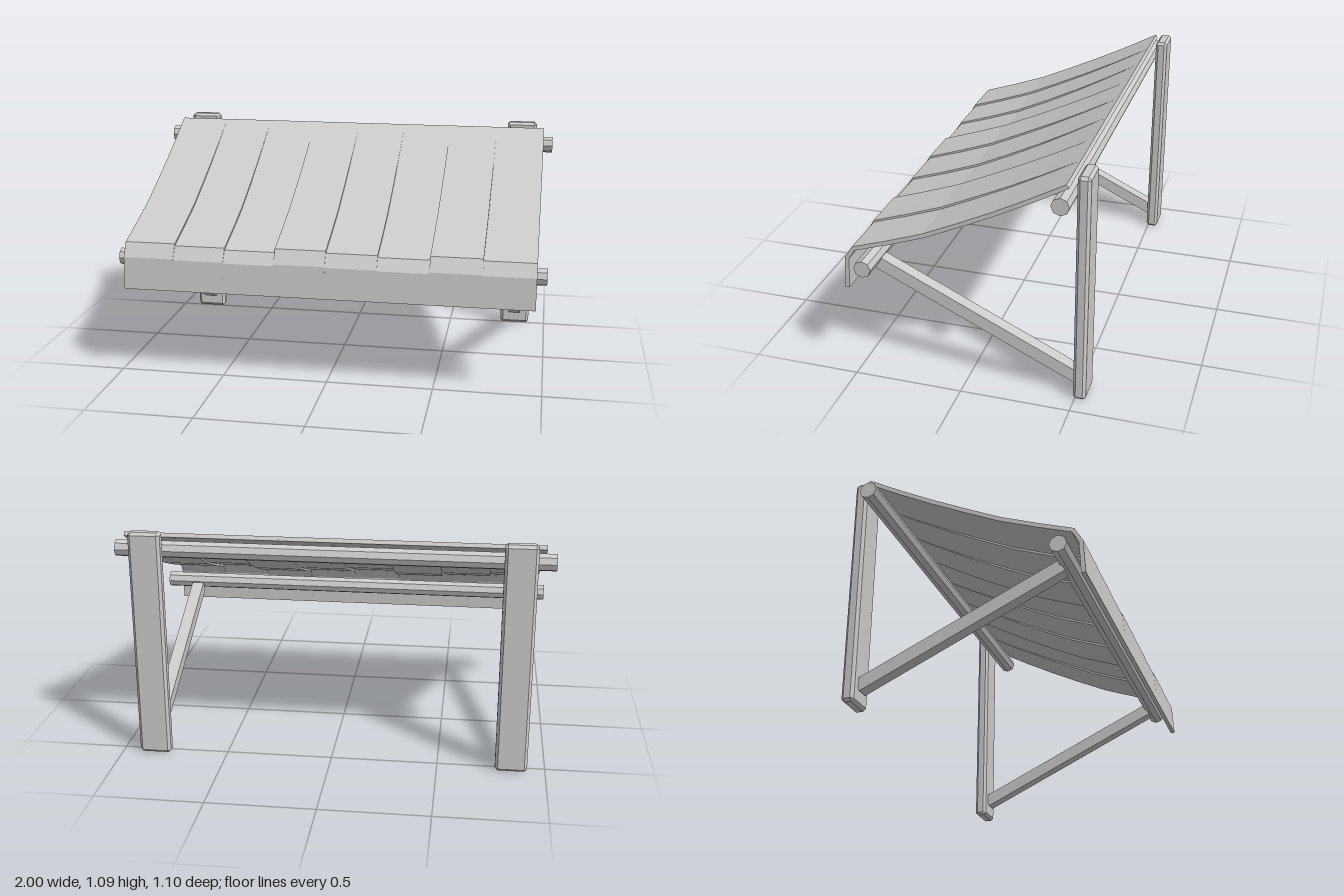
import * as THREE from 'three';
import { ConvexGeometry } from 'three/addons/geometries/ConvexGeometry.js';

// Box with every edge chamfered by c
function chamferBox(w, h, d, c) {
  const pts = [];
  for (const sx of [-1, 1]) for (const sy of [-1, 1]) for (const sz of [-1, 1]) {
    const x = w / 2, y = h / 2, z = d / 2;
    for (const [a, b, e] of [[x, y - c, z - c], [x - c, y, z - c], [x - c, y - c, z]]) {
      pts.push(new THREE.Vector3(sx * a, sy * b, sz * e));
    }
  }
  return new ConvexGeometry(pts);
}

// Canopy top line from back to front lip: z, y, share of the strip's sag
const PROFILE = [
  [-0.459, 1.068, 0], [-0.3, 0.982, 0.35], [-0.15, 0.906, 0.7], [0, 0.835, 1],
  [0.17, 0.757, 1.1], [0.335, 0.697, 1.1], [0.5, 0.641, 1], [0.538, 0.576, 0.4], [0.546, 0.424, 0],
];

// One solid strip of cloth, hung lower by sag
function stripGeometry(width, sag) {
  const top = PROFILE.map(([z, y, s]) => new THREE.Vector2(z, y - s * sag));
  const under = top.map((p, i) => {
    const a = top[Math.max(i - 1, 0)], b = top[Math.min(i + 1, top.length - 1)];
    const t = b.clone().sub(a).normalize();
    return new THREE.Vector2(p.x + t.y * 0.02, p.y - t.x * 0.02);
  });
  const shape = new THREE.Shape([...top, ...under.reverse()]);
  const geo = new THREE.ExtrudeGeometry(shape, { depth: width, bevelEnabled: false });
  return geo.rotateY(-Math.PI / 2).translate(width / 2, 0, 0);
}

export function createModel() {
  const model = new THREE.Group();
  model.name = 'awning';
  const grey = new THREE.MeshStandardMaterial({ color: 0xcccccc, flatShading: true });
  grey.name = 'light grey';

  const add = (name, geo, x, y, z) => {
    const mesh = new THREE.Mesh(geo, grey);
    mesh.name = name;
    mesh.position.set(x, y, z);
    model.add(mesh);
    return mesh;
  };

  // Cloth canopy: eight strips with a repeating three-step sag
  const count = 8, width = 1.91 / count;
  for (let i = 0; i < count; i++) {
    add('canopyStrip' + (i + 1), stripGeometry(width, 0.009 * (i % 3)), -0.955 + width * (i + 0.5), 0, 0);
  }

  // Eight-sided poles carrying the cloth
  const pole = new THREE.CylinderGeometry(0.04, 0.04, 2, 8).rotateZ(Math.PI / 2);
  add('backPole', pole, 0, 0.987, -0.445);
  add('frontPole', pole, 0, 0.552, 0.44);

  // Upright wall posts and sloping struts, mirrored
  const post = chamferBox(0.148, 1.088, 0.058, 0.013);
  const strut = new THREE.BoxGeometry(0.06, 0.06, 1.018);
  for (const [side, s] of [['left', 1], ['right', -1]]) {
    add(side + 'Post', post, s * 0.843, 0.544, -0.521);
    add(side + 'Strut', strut, s * 0.843, 0.304, -0.038).rotation.x = -0.442;
  }
  return model;
}
